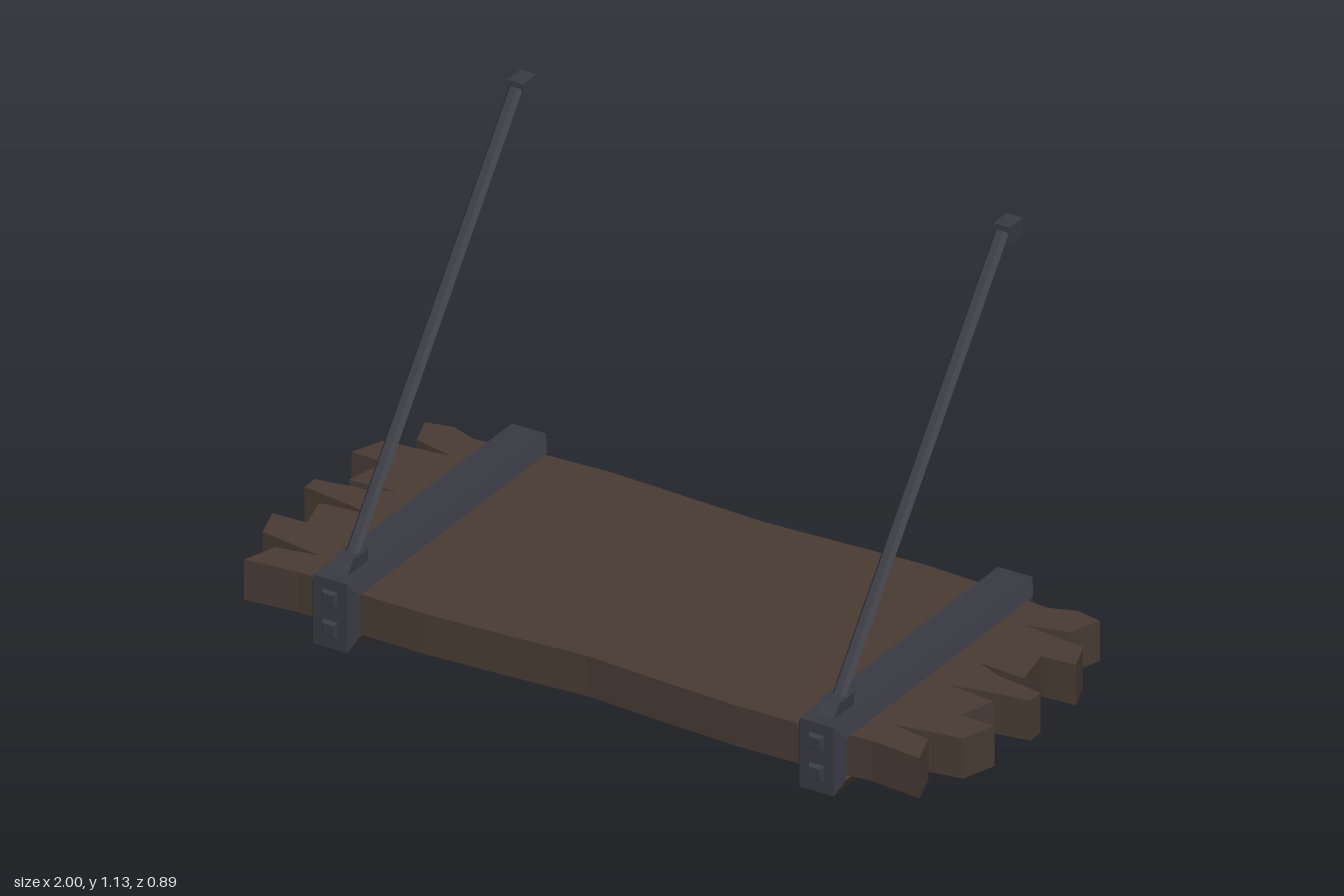
import * as THREE from 'three';

const wood = new THREE.MeshStandardMaterial({ color: 0x483b34, flatShading: true, side: THREE.DoubleSide });
wood.name = 'dark wood';
const iron = new THREE.MeshStandardMaterial({ color: 0x393a42, flatShading: true, side: THREE.DoubleSide });
iron.name = 'dark iron';

function add(parent, geometry, material, name) {
  const mesh = new THREE.Mesh(geometry, material);
  mesh.name = name;
  parent.add(mesh);
  return mesh;
}

// Splintered board: one half of the outline, from back to front, mirrored in x
function plankGeometry() {
  const half = [
    [0, -0.4], [0.22, -0.41], [0.43, -0.42], [0.6, -0.412], [0.79, -0.39], [0.86, -0.415],
    [0.93, -0.4], [0.9, -0.315], [0.79, -0.29], [0.965, -0.27], [0.998, -0.185], [0.905, -0.18],
    [0.93, -0.065], [0.8, -0.075], [0.87, -0.045], [1, -0.025], [1, 0.02], [0.87, 0.04],
    [0.8, 0.055], [0.93, 0.07], [0.9, 0.168], [0.995, 0.17], [0.965, 0.262], [0.79, 0.29],
    [0.9, 0.31], [0.93, 0.4], [0.79, 0.385], [0.6, 0.402], [0.43, 0.405], [0.22, 0.395], [0, 0.38],
  ];
  const mirrored = half.slice(1, -1).reverse().map(([x, z]) => [-x, z]);
  const points = [...half, ...mirrored].map(([x, z]) => new THREE.Vector2(x, -z));
  const geometry = new THREE.ExtrudeGeometry(new THREE.Shape(points), { depth: 0.107, bevelEnabled: false });
  return geometry.rotateX(-Math.PI / 2).translate(0, 0.038, 0);
}

// One run of the band: outer face and two chamfers between (z, y) corners a and b
function bandGeometry(outA, outB, inA, inB) {
  const position = [];
  const rings = [outA, outB].map(([z, y], i) => {
    const [iz, iy] = [inA, inB][i];
    return [[-0.065, iy, iz], [-0.047, y, z], [0.047, y, z], [0.065, iy, iz]];
  });
  for (let i = 0; i < 3; i++) {
    const [a, b, c, d] = [rings[0][i], rings[0][i + 1], rings[1][i + 1], rings[1][i]];
    position.push(...a, ...b, ...c, ...a, ...c, ...d);
  }
  const geometry = new THREE.BufferGeometry();
  geometry.setAttribute('position', new THREE.Float32BufferAttribute(position, 3));
  geometry.computeVertexNormals();
  return geometry;
}

// Four-sided bolt head with sloped flanks
function boltGeometry() {
  return new THREE.CylinderGeometry(0.02, 0.031, 0.011, 4).rotateY(Math.PI / 4);
}

function createBracket(x) {
  const bracket = new THREE.Group();
  bracket.name = 'bracket';
  bracket.position.x = x;

  // Band around the board: iron in front and on top, wood below
  const topFront = [0.437, 0.182], topBack = [-0.443, 0.182];
  const lowFront = [0.437, 0], lowBack = [-0.443, 0], midBack = [-0.443, 0.09];
  const inTopFront = [0.41, 0.146], inTopBack = [-0.418, 0.146];
  const inLowFront = [0.41, 0.036], inLowBack = [-0.418, 0.036], inMidBack = [-0.418, 0.09];
  add(bracket, bandGeometry(lowFront, topFront, inLowFront, inTopFront), iron, 'frontBand');
  add(bracket, bandGeometry(topFront, topBack, inTopFront, inTopBack), iron, 'topBand');
  add(bracket, bandGeometry(topBack, midBack, inTopBack, inMidBack), iron, 'upperBackBand');
  add(bracket, bandGeometry(midBack, lowBack, inMidBack, inLowBack), wood, 'lowerBackBand');
  add(bracket, bandGeometry(lowBack, lowFront, inLowBack, inLowFront), wood, 'bottomBatten');

  // Bolts on top and in front
  for (const z of [-0.232, -0.003, 0.227]) {
    add(bracket, boltGeometry(), iron, 'topBolt').position.set(0, 0.186, z);
  }
  for (const y of [0.052, 0.132]) {
    const bolt = add(bracket, boltGeometry(), iron, 'frontBolt');
    bolt.rotation.x = Math.PI / 2;
    bolt.position.set(0, y, 0.441);
  }

  // Wedge-shaped foot of the rod
  const foot = new THREE.Shape([[-0.4, 0.18], [-0.31, 0.18], [-0.31, 0.212], [-0.375, 0.212]]
    .map(([u, v]) => new THREE.Vector2(u, v)));
  const footGeometry = new THREE.ExtrudeGeometry(foot, { depth: 0.05, bevelEnabled: false });
  add(bracket, footGeometry.translate(0, 0, -0.025).rotateY(Math.PI / 2), iron, 'rodFoot');

  // Slanted support rod and its wall block
  const start = new THREE.Vector3(0, 0.19, 0.352), end = new THREE.Vector3(0, 1.112, -0.385);
  const along = end.clone().sub(start);
  const rod = add(bracket, new THREE.CylinderGeometry(0.0185, 0.0185, along.length(), 6)
    .rotateY(Math.PI / 6 + Math.PI / 3).scale(1, 1, 0.75), iron, 'supportRod');
  rod.position.copy(start).add(end).multiplyScalar(0.5);
  rod.rotation.x = Math.atan2(along.z, along.y);
  add(bracket, new THREE.BoxGeometry(0.045, 0.047, 0.06), iron, 'wallBlock').position.set(0, 1.106, -0.412);
  return bracket;
}

export function createModel() {
  const model = new THREE.Group();
  model.name = 'hangingPlank';
  add(model, plankGeometry(), wood, 'plank');
  for (const side of [-1, 1]) model.add(createBracket(side * 0.67));
  return model;
}
